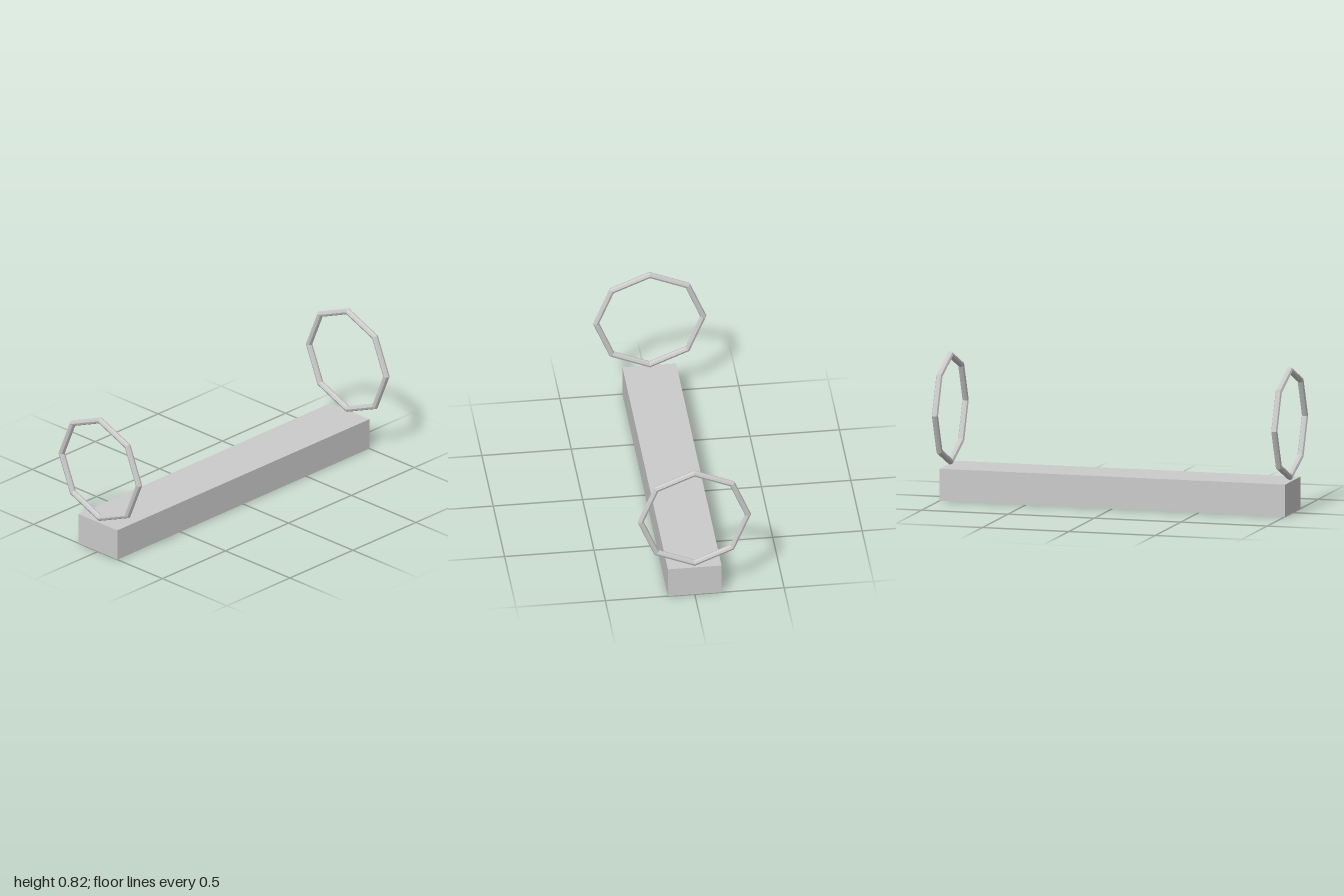
import * as THREE from 'three';

export function createModel() {
  const model = new THREE.Group();
  const material = new THREE.MeshStandardMaterial({ color: 0xcccccc, flatShading: true });

  const add = (name, geometry, x, y, z) => {
    const mesh = new THREE.Mesh(geometry, material);
    mesh.name = name;
    mesh.position.set(x, y, z);
    model.add(mesh);
  };

  // Long rectangular beam
  const length = 2, height = 0.18;
  add('beam', new THREE.BoxGeometry(0.3, height, length), 0, height / 2, 0);

  // Octagonal ring standing at each end, flush with the beam's end faces
  const radius = 0.3, tube = 0.018;
  const ring = new THREE.TorusGeometry(radius, tube, 8, 8);
  for (const [name, side] of [['frontRing', 1], ['backRing', -1]]) {
    add(name, ring, 0, 0.5, side * (length / 2 - tube));
  }

  return model;
}
